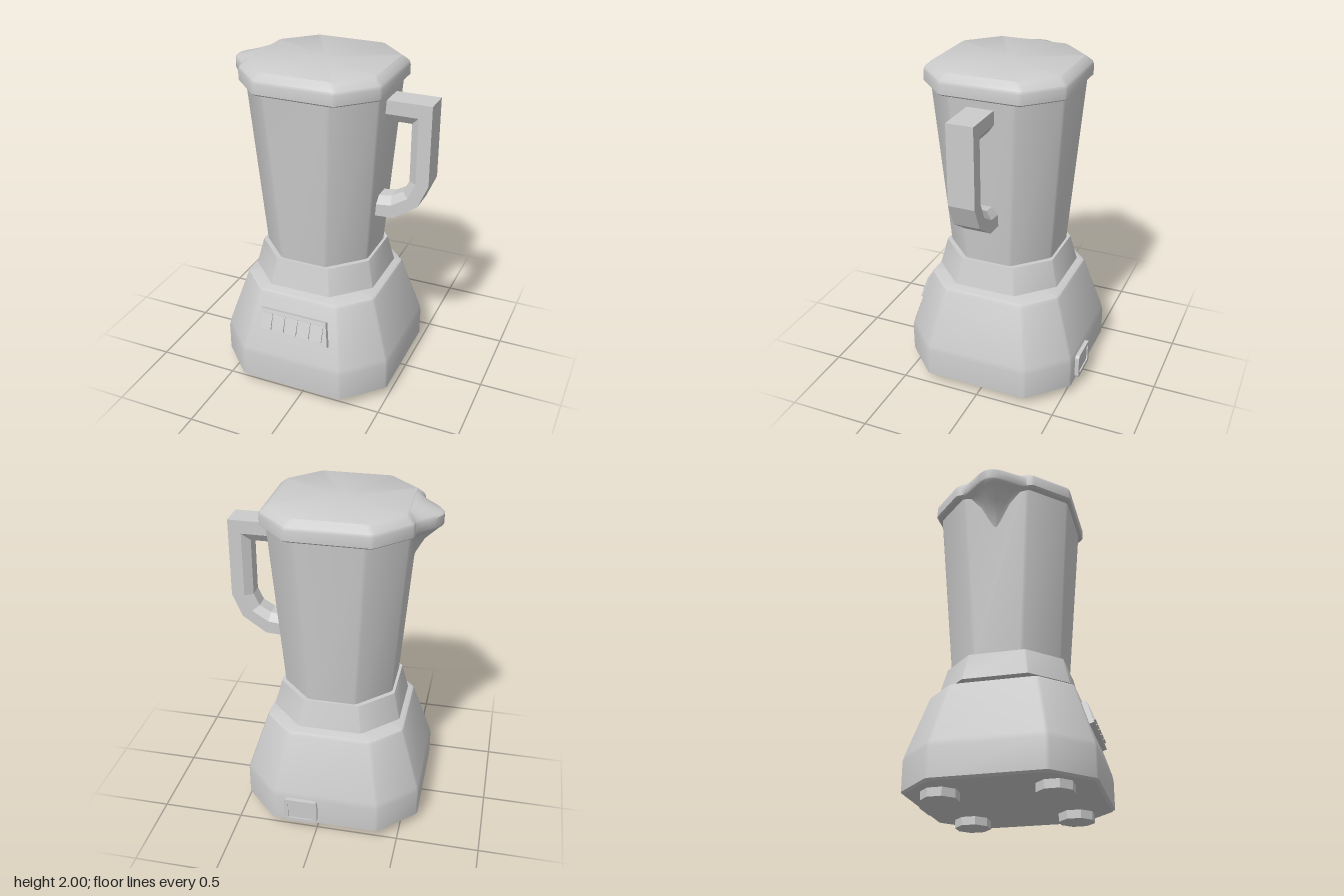
import * as THREE from 'three';
import { toCreasedNormals } from 'three/addons/utils/BufferGeometryUtils.js';

const CX = -0.055, CZ = 0.01; // axis of the body
const mat = new THREE.MeshStandardMaterial({ color: 0xcccccc });

function mesh(name, geometry, parent) {
  const m = new THREE.Mesh(geometry, mat);
  m.name = name;
  parent.add(m);
  return m;
}

// Skin a list of closed cross-sections and cap both ends
function loft(rings, crease = 0.6) {
  const pos = [];
  const tri = (...pts) => pts.forEach((p) => pos.push(...p));
  const n = rings[0].length;
  const centre = (r) => [0, 1, 2].map((k) => r.reduce((s, p) => s + p[k], 0) / n);
  const first = rings[0], last = rings[rings.length - 1];
  const c0 = centre(first), c1 = centre(last);
  for (let i = 0; i < n; i++) {
    const k = (i + 1) % n;
    for (let j = 0; j < rings.length - 1; j++) {
      const a = rings[j], b = rings[j + 1];
      tri(a[i], b[i], a[k]);
      tri(a[k], b[i], b[k]);
    }
    tri(c0, first[i], first[k]);
    tri(c1, last[k], last[i]);
  }
  const g = new THREE.BufferGeometry();
  g.setAttribute('position', new THREE.Float32BufferAttribute(pos, 3));
  g.computeVertexNormals();
  return toCreasedNormals(g, crease);
}

// Eight-sided section with slightly softened corners:
// half = half width, flat = half length of the straight sides
function octagon(y, half, flat, soft = 0.012) {
  const d = soft * Math.SQRT1_2, ring = [];
  const quarter = [
    [half, flat - soft], [half - d, flat + d],
    [flat + d, half - d], [flat - soft, half],
  ];
  for (let q = 0; q < 4; q++) {
    const c = Math.round(Math.cos(q * Math.PI / 2)), s = Math.round(Math.sin(q * Math.PI / 2));
    for (const [x, z] of quarter) ring.push([CX + c * x - s * z, y, CZ + s * x + c * z]);
  }
  return ring;
}

const octLoft = (rows, soft) => loft(rows.map(([y, h, f]) => octagon(y, h, f, soft)));

function roundedRect(w, h, r, Type = THREE.Shape) {
  const s = new Type(), x = w / 2, y = h / 2;
  s.moveTo(-x + r, -y);
  s.lineTo(x - r, -y).quadraticCurveTo(x, -y, x, -y + r);
  s.lineTo(x, y - r).quadraticCurveTo(x, y, x - r, y);
  s.lineTo(-x + r, y).quadraticCurveTo(-x, y, -x, y - r);
  s.lineTo(-x, -y + r).quadraticCurveTo(-x, -y, -x + r, -y);
  return s;
}

export function createModel() {
  const model = new THREE.Group();
  model.name = 'blender';

  // Motor base, neck and collar
  mesh('motorBase', octLoft([
    [0.05, 0.53, 0.318], [0.062, 0.545, 0.325], [0.235, 0.545, 0.325], [0.27, 0.538, 0.32],
    [0.615, 0.428, 0.255], [0.632, 0.42, 0.25], [0.64, 0.405, 0.242],
  ]), model);
  mesh('neck', octLoft([[0.62, 0.335, 0.16], [0.69, 0.335, 0.16]]), model);
  mesh('collar', octLoft([[0.67, 0.39, 0.19], [0.835, 0.35, 0.165]], 0.004), model);

  // Jar and lid
  mesh('jar', octLoft([[0.82, 0.332, 0.142], [1.9, 0.411, 0.2]]), model);
  mesh('lid', octLoft([
    [1.878, 0.422, 0.234], [1.887, 0.432, 0.24], [1.945, 0.432, 0.24],
    [1.962, 0.427, 0.237], [1.99, 0.398, 0.216], [2.0, 0.385, 0.208],
  ]), model);

  // Pouring spout: bell-shaped sections [y, wall x, tip x, half width]
  const spoutRows = [
    [1.64, -0.44, -0.445, 0.02], [1.7, -0.445, -0.47, 0.06], [1.79, -0.45, -0.52, 0.11],
    [1.865, -0.46, -0.6, 0.17], [1.88, -0.475, -0.617, 0.225], [1.89, -0.482, -0.62, 0.23],
    [1.945, -0.482, -0.62, 0.23], [1.958, -0.478, -0.605, 0.225], [1.998, -0.442, -0.445, 0.2],
  ];
  mesh('spout', loft(spoutRows.map(([y, wall, tip, w]) => {
    const ring = [];
    for (let i = 0; i <= 16; i++) {
      const t = 1 - i / 8;
      ring.push([wall + (tip - wall) * (1 + Math.cos(Math.PI * t)) / 2, y, CZ + t * w]);
    }
    ring.push([-0.4, y, CZ - w], [-0.4, y, CZ + w]);
    return ring;
  }), 0.7), model);

  // Handle: flat outside, chamfered towards the grip [outer x, y, inner x, y]
  const handleRows = [
    [0.3, 1.83, 0.3, 1.7], [0.615, 1.83, 0.49, 1.7], [0.615, 1.35, 0.49, 1.35],
    [0.555, 1.21, 0.455, 1.275], [0.41, 1.11, 0.385, 1.235], [0.24, 1.1, 0.24, 1.215],
  ];
  mesh('handle', loft(handleRows.map(([ox, oy, ix, iy]) => {
    const mx = ox + (ix - ox) * 0.62, my = oy + (iy - oy) * 0.62;
    const w = 0.08, n = 0.045, z = 0.013;
    return [
      [ox, oy, z + w], [ox, oy, z - w], [mx, my, z - w],
      [ix, iy, z - n], [ix, iy, z + n], [mx, my, z + w],
    ];
  }), 0.2), model);

  // Control panel with a row of buttons, lying on the sloping front
  const panel = new THREE.Group();
  panel.name = 'controlPanel';
  panel.position.set(-0.06, 0.475, 0.512);
  panel.rotation.x = -0.31;
  model.add(panel);
  const plate = new THREE.Shape([[-0.24, -0.074], [0.24, -0.074], [0.212, 0.074], [-0.212, 0.074]]
    .map(([x, y]) => new THREE.Vector2(x, y)));
  mesh('panelPlate', new THREE.ExtrudeGeometry(plate, { depth: 0.05, bevelEnabled: false }), panel)
    .position.z = -0.05;
  for (let i = -2; i <= 2; i++) {
    const button = mesh('button', new THREE.BoxGeometry(0.07, 0.1, 0.016), panel);
    button.position.set(i * 0.083, 0.002, 0.0);
    button.rotation.x = -0.06;
  }

  // Power socket on the back
  const socket = new THREE.Group();
  socket.name = 'powerSocket';
  socket.position.set(0.093, 0.155, -0.56);
  model.add(socket);
  const frame = roundedRect(0.205, 0.16, 0.025);
  frame.holes.push(roundedRect(0.155, 0.11, 0.012, THREE.Path));
  mesh('socketFrame', new THREE.ExtrudeGeometry(frame, { depth: 0.04, bevelEnabled: false }), socket);
  mesh('socketPlate', new THREE.BoxGeometry(0.16, 0.115, 0.03), socket).position.z = 0.023;

  // Four feet
  for (const sx of [-1, 1]) for (const sz of [-1, 1]) {
    const foot = mesh('foot', toCreasedNormals(new THREE.CylinderGeometry(0.108, 0.108, 0.06, 8), 0.3), model);
    foot.rotation.y = Math.PI / 8;
    foot.position.set(CX + sx * 0.317, 0.03, CZ + sz * 0.317);
  }
  return model;
}
